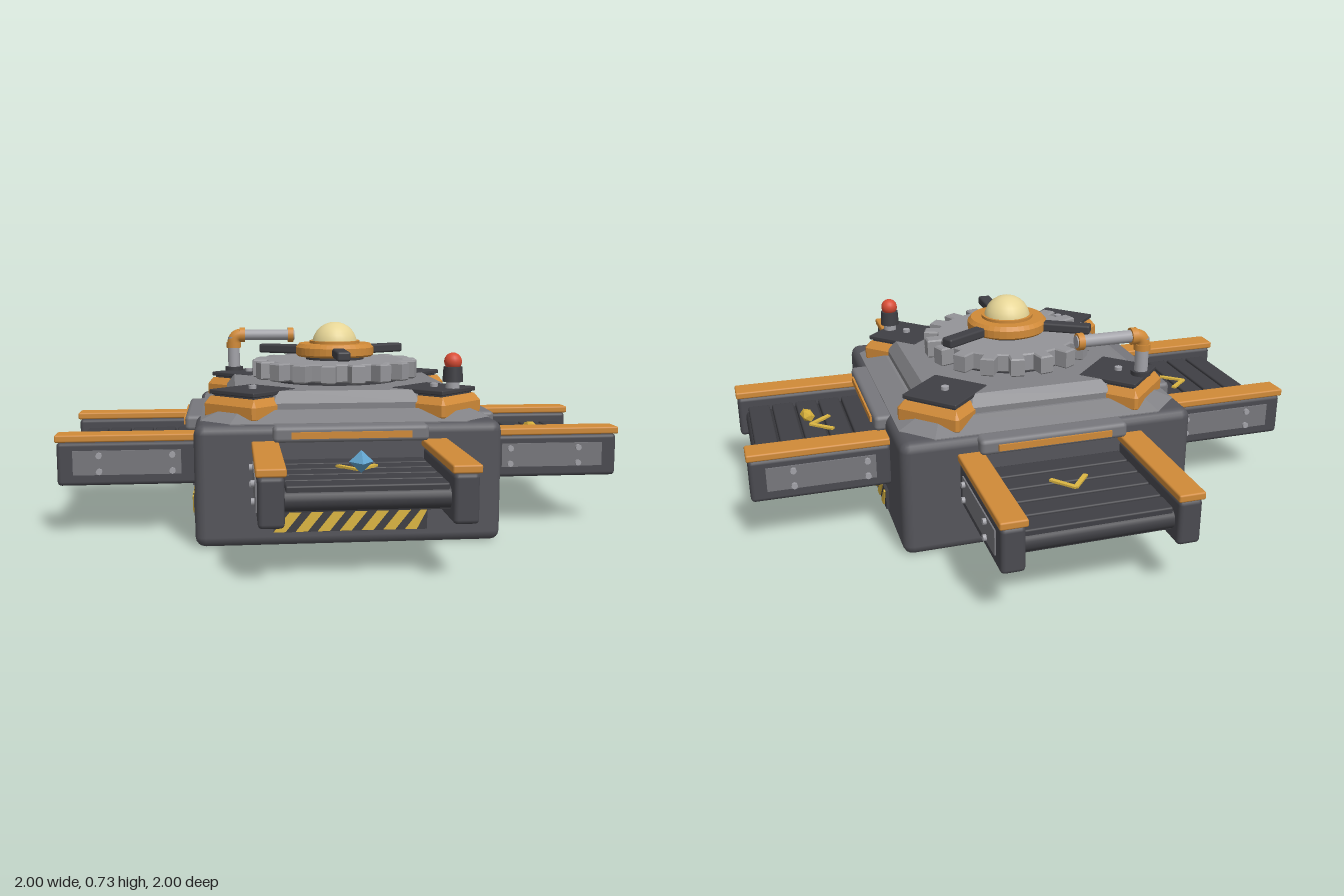
import * as THREE from 'three';
import { RoundedBoxGeometry } from 'three/addons/geometries/RoundedBoxGeometry.js';

const mat = (color, flatShading = false) => new THREE.MeshStandardMaterial({ color, flatShading });
const M = {
  body: mat(0x55555b), deck: mat(0x828286, true), gear: mat(0x949498), rail: mat(0x4a4a50),
  panel: mat(0x77777c), dark: mat(0x3f3f44), belt: mat(0x36363a), orange: mat(0xd08a38),
  yellow: mat(0xdcb642), cream: mat(0xe6d596), red: mat(0xd84c35), blue: mat(0x62a5d0, true),
  ore: mat(0xd9b23c, true), pipe: mat(0xa2a2a8),
};

function add(parent, name, geo, material, x = 0, y = 0, z = 0) {
  const m = new THREE.Mesh(geo, material);
  m.name = name;
  m.position.set(x, y, z);
  parent.add(m);
  return m;
}
function group(parent, name) {
  const g = new THREE.Group();
  g.name = name;
  parent.add(g);
  return g;
}
const box = (w, h, d) => new THREE.BoxGeometry(w, h, d);
const rbox = (w, h, d, r) => new RoundedBoxGeometry(w, h, d, 2, r);
const cyl = (r, h, n = 20, r2 = r) => new THREE.CylinderGeometry(r2, r, h, n);

// Square with cut corners: half width a, flat edges reaching to b
function cutSquare(a, b) {
  return new THREE.Shape([[a, -b], [a, b], [b, a], [-b, a], [-a, b], [-a, -b], [-b, -a], [b, -a]]
    .map(([x, y]) => new THREE.Vector2(x, y)));
}
// Upright slab from y0 to y1 whose rim is bevelled; the shape gives the widest outline
function slab(shape, y0, y1, size, thick) {
  const geo = new THREE.ExtrudeGeometry(shape, {
    depth: y1 - y0 - 2 * thick, bevelEnabled: size > 0, bevelSize: size,
    bevelThickness: thick, bevelOffset: -size, bevelSegments: 1, curveSegments: 8,
  });
  return geo.rotateX(-Math.PI / 2).translate(0, y0 + thick, 0);
}

function gearShape(teeth, inner, outer) {
  const s = new THREE.Shape(), step = (Math.PI * 2) / teeth;
  for (let i = 0; i < teeth; i++) {
    [[-0.3, inner], [-0.23, outer], [0.23, outer], [0.3, inner]].forEach(([t, r], k) => {
      const a = (i + t) * step;
      s[i + k ? 'lineTo' : 'moveTo'](r * Math.cos(a), r * Math.sin(a));
    });
  }
  s.closePath();
  return s;
}

// One side: conveyor, hood and warning stripes, built toward +z
function buildSide() {
  const g = new THREE.Group();
  g.name = 'conveyorSide';

  // Hood above the opening, sill below it
  add(g, 'hood', rbox(0.52, 0.055, 0.1, 0.015), M.panel, 0, 0.385, 0.507);
  add(g, 'hoodStrip', box(0.4, 0.022, 0.014), M.orange, 0, 0.383, 0.557);
  add(g, 'sill', box(0.48, 0.08, 0.04), M.body, 0, 0.2, 0.515);

  // Belt with slats and end roller
  add(g, 'beltBed', box(0.49, 0.06, 0.44), M.belt, 0, 0.25, 0.73);
  add(g, 'endRoller', cyl(0.035, 0.49).rotateZ(Math.PI / 2), M.dark, 0, 0.255, 0.935);
  for (let i = 0; i < 5; i++)
    add(g, 'slat', rbox(0.485, 0.03, 0.079, 0.006), M.dark, 0, 0.285, 0.567 + i * 0.088);

  // Direction arrow
  for (const s of [-1, 1]) {
    const bar = add(g, 'arrowBar', box(0.016, 0.008, 0.098), M.yellow, s * 0.03, 0.303, 0.714);
    bar.rotation.y = -s * 0.7;
  }

  // Side rails with caps, panels and bolts
  for (const s of [-1, 1]) {
    add(g, 'rail', rbox(0.078, 0.152, 0.48, 0.014), M.rail, s * 0.285, 0.257, 0.755);
    add(g, 'railCap', rbox(0.09, 0.026, 0.49, 0.006), M.orange, s * 0.285, 0.347, 0.755);
    add(g, 'railPanel', box(0.008, 0.085, 0.37), M.panel, s * 0.325, 0.262, 0.755);
    for (const z of [0.6, 0.85])
      for (const y of [0.232, 0.288])
        add(g, 'railBolt', cyl(0.011, 0.014, 8).rotateZ(Math.PI / 2), M.pipe, s * 0.333, y, z);
  }

  // Warning stripes
  add(g, 'stripePlate', box(0.52, 0.072, 0.016), M.dark, 0, 0.088, 0.523);
  const clamp = (x) => Math.max(-0.26, Math.min(0.26, x));
  for (let i = -1; i < 7; i++) {
    const x = -0.26 + i * 0.074, w = 0.04, lean = 0.055;
    if (x + lean + w <= -0.25) continue;
    const pts = i < 0
      ? [[-0.26, -0.012], [clamp(x + w + lean), 0.034], [-0.26, 0.034]]
      : [[x, -0.034], [clamp(x + w), -0.034], [clamp(x + w + lean), 0.034], [clamp(x + lean), 0.034]];
    const shape = new THREE.Shape(pts.map(([a, b]) => new THREE.Vector2(a, b)));
    add(g, 'warningStripe', new THREE.ExtrudeGeometry(shape, { depth: 0.006, bevelEnabled: false }),
      M.yellow, 0, 0.088, 0.53);
  }
  return g;
}

// Corner mount: bevelled block, plate and bolt, set diagonally
function buildCorner() {
  const g = new THREE.Group();
  g.name = 'cornerMount';
  add(g, 'mountBlock', slab(cutSquare(0.122, 0.112), 0.4, 0.49, 0.02, 0.025), M.orange);
  add(g, 'mountGasket', box(0.19, 0.012, 0.19), M.dark, 0, 0.494, 0);
  add(g, 'mountPlate', rbox(0.212, 0.016, 0.212, 0.004), M.dark, 0, 0.505, 0);
  add(g, 'mountBolt', cyl(0.014, 0.014, 10), M.pipe, 0, 0.518, 0);
  g.rotation.y = Math.PI / 4;
  return g;
}

export function createModel() {
  const root = new THREE.Group();
  root.name = 'conveyorJunction';

  // Body and stepped deck
  add(root, 'body', rbox(1.04, 0.415, 1.04, 0.035), M.body, 0, 0.2075, 0);
  add(root, 'lowerDeck', slab(cutSquare(0.5, 0.4), 0.37, 0.45, 0.08, 0.035), M.deck);
  add(root, 'upperDeck', slab(cutSquare(0.41, 0.25), 0.4, 0.51, 0.03, 0.04), M.deck);

  // Four conveyors and four corner mounts
  for (let i = 0; i < 4; i++) {
    const side = buildSide();
    side.rotation.y = (i * Math.PI) / 2;
    root.add(side);
    const corner = buildCorner();
    corner.position.set(i % 2 ? 0.32 : -0.32, 0, i < 2 ? 0.32 : -0.32);
    root.add(corner);
  }

  // Gear turntable with hub, spokes and dome
  const turntable = group(root, 'turntable');
  add(turntable, 'gearBase', cyl(0.24, 0.03, 40), M.dark, 0, 0.515, 0);
  add(turntable, 'gear', slab(gearShape(18, 0.262, 0.312), 0.522, 0.588, 0.005, 0.005), M.gear);
  add(turntable, 'hubBase', cyl(0.11, 0.03, 32), M.dark, 0, 0.595, 0);
  const hub = [[0, 0.6], [0.14, 0.6], [0.147, 0.607], [0.147, 0.634], [0.135, 0.648], [0, 0.648]];
  add(turntable, 'hub', new THREE.LatheGeometry(hub.map(([x, y]) => new THREE.Vector2(x, y)), 40),
    mat(0xd08a38, true));
  add(turntable, 'domeRing', cyl(0.095, 0.012, 32), M.orange, 0, 0.652, 0);
  add(turntable, 'dome', new THREE.SphereGeometry(0.086, 28, 14), M.cream, 0, 0.642, 0);
  for (let i = 0; i < 3; i++) {
    const arm = group(turntable, 'spoke');
    add(arm, 'spokeBar', rbox(0.048, 0.034, 0.19, 0.008), M.dark, 0, 0.62, 0.22);
    arm.rotation.y = (i * Math.PI * 2) / 3;
  }

  // Bent pipe with collars
  const pipe = group(root, 'pipe');
  pipe.position.set(-0.38, 0, -0.38);
  add(pipe, 'pipeFlange', cyl(0.036, 0.016), M.dark, 0, 0.52, 0);
  add(pipe, 'pipeUpright', cyl(0.024, 0.14), M.pipe, 0, 0.58, 0);
  add(pipe, 'pipeRun', cyl(0.022, 0.22).rotateZ(Math.PI / 2), M.pipe, 0.14, 0.658, 0);
  const bend = new THREE.QuadraticBezierCurve3(new THREE.Vector3(0, 0.625, 0),
    new THREE.Vector3(0, 0.658, 0), new THREE.Vector3(0.035, 0.658, 0));
  add(pipe, 'pipeElbow', new THREE.TubeGeometry(bend, 8, 0.026, 16), M.orange);
  add(pipe, 'pipeCollar', cyl(0.03, 0.022), M.orange, 0, 0.617, 0);
  for (const x of [0.036, 0.235])
    add(pipe, 'pipeCollar', cyl(0.03, 0.022).rotateZ(Math.PI / 2), M.orange, x, 0.658, 0);

  // Signal lamp
  const lamp = group(root, 'signalLamp');
  lamp.position.set(0.375, 0, 0.375);
  add(lamp, 'lampFoot', cyl(0.024, 0.03), M.pipe, 0, 0.525, 0);
  add(lamp, 'lampSocket', cyl(0.036, 0.052, 20, 0.033), M.dark, 0, 0.562, 0);
  add(lamp, 'lampBulb', new THREE.SphereGeometry(0.031, 20, 14), M.red, 0, 0.606, 0);

  // Cargo riding the belts: a faceted crystal and an ore nugget
  const crystal = add(root, 'crystal', new THREE.OctahedronGeometry(0.038, 0), M.blue, 0, 0.337, 0.792);
  crystal.scale.set(1, 0.95, 1.3);
  const nugget = add(root, 'oreNugget', new THREE.IcosahedronGeometry(0.03, 0), M.ore, 0.757, 0.322, 0.045);
  nugget.scale.set(0.8, 0.75, 1.5);
  nugget.rotation.y = 0.25;
  return root;
}
